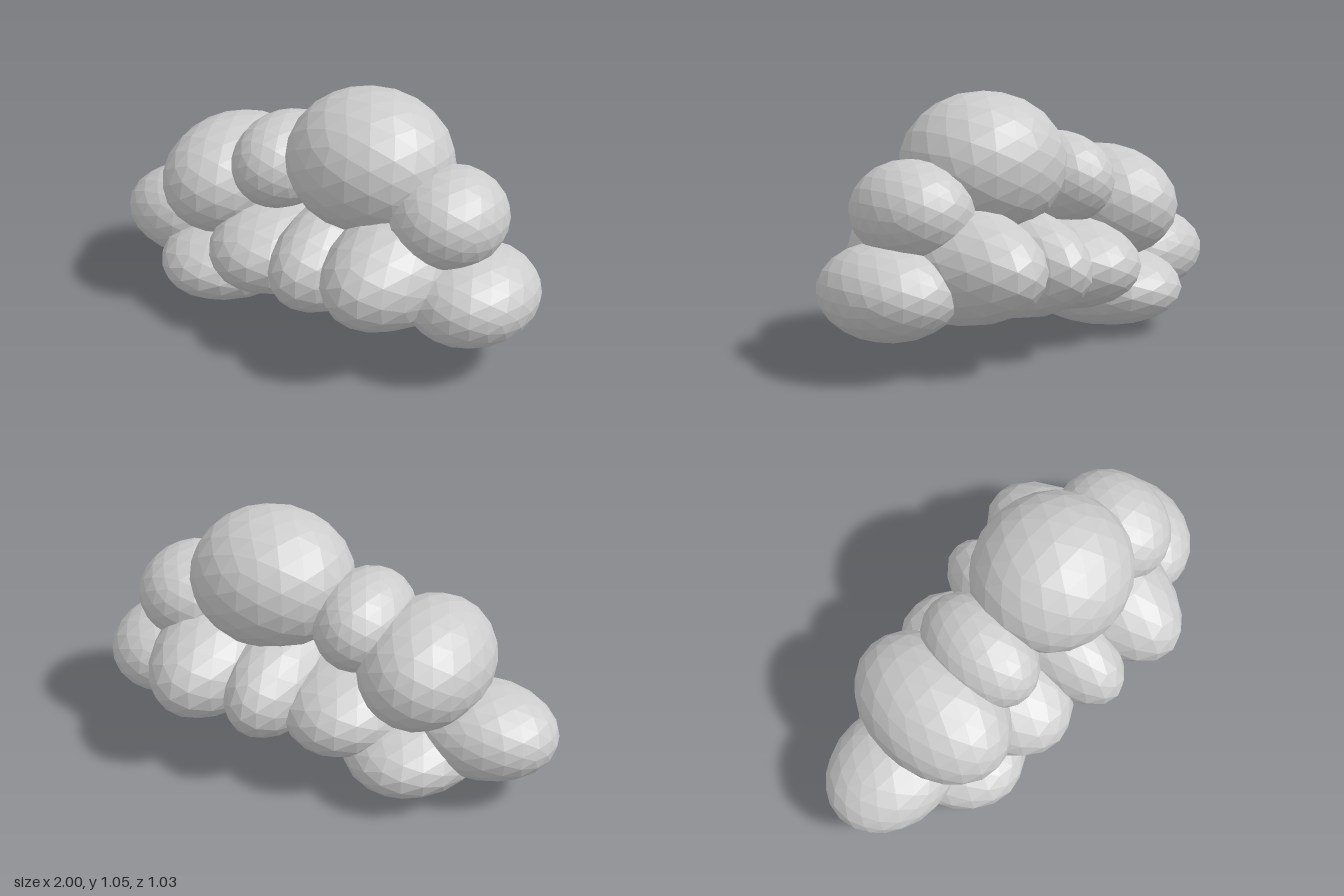
import * as THREE from 'three';

// Each puff of the cloud: name, centre x, centre y, radii x, y, z
const PUFFS = [
  ['rightTailPuff', -0.69, 0.28, 0.31, 0.19, 0.25],
  ['lowerRightPuff', -0.415, 0.18, 0.3, 0.18, 0.41],
  ['upperRightPuff', -0.44, 0.53, 0.27, 0.25, 0.365],
  ['smallTopPuff', -0.165, 0.66, 0.2, 0.2, 0.275],
  ['crownPuff', 0.25, 0.76, 0.345, 0.29, 0.325],
  ['upperLeftPuff', 0.62, 0.615, 0.23, 0.2, 0.26],
  ['leftTailPuff', 0.74, 0.322, 0.26, 0.19, 0.3],
  ['wideLeftPuff', 0.46, 0.4, 0.27, 0.245, 0.515],
  ['wideMiddlePuff', 0.16, 0.365, 0.22, 0.235, 0.48],
  ['wideRightPuff', -0.14, 0.32, 0.29, 0.205, 0.43],
];

export function createModel() {
  const cloud = new THREE.Group();
  cloud.name = 'cloud';
  const material = new THREE.MeshStandardMaterial({ color: 0xcccccc, flatShading: true });

  // Faceted ellipsoids that overlap into one cloud
  for (const [name, x, y, rx, ry, rz] of PUFFS) {
    const geometry = new THREE.IcosahedronGeometry(1, 3);
    geometry.scale(rx, ry, rz);
    geometry.computeVertexNormals();
    const puff = new THREE.Mesh(geometry, material);
    puff.name = name;
    puff.position.set(x, y, 0);
    cloud.add(puff);
  }
  return cloud;
}
